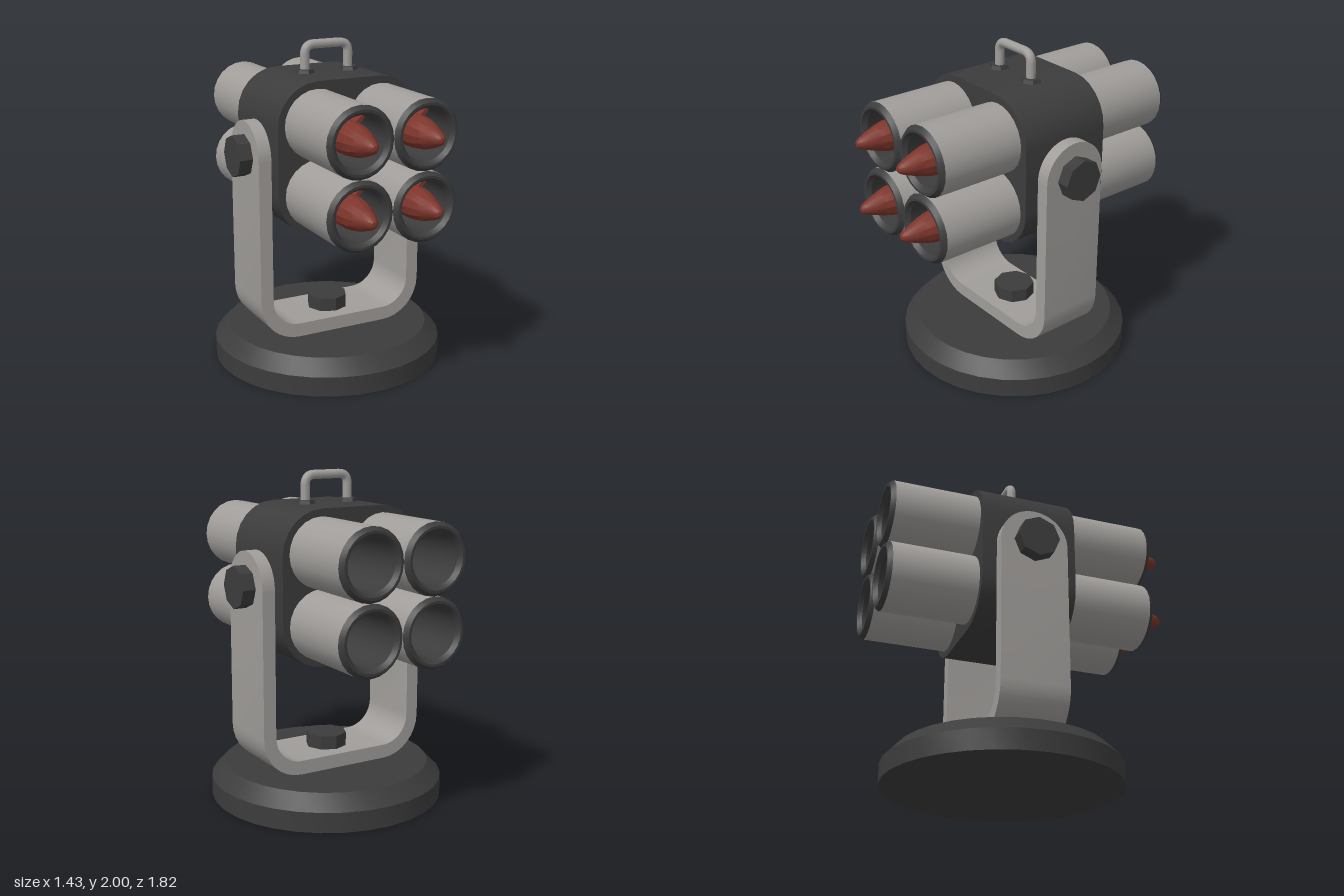
import * as THREE from 'three';
import { toCreasedNormals } from 'three/addons/utils/BufferGeometryUtils.js';

const paint = (name, color) => {
  const m = new THREE.MeshStandardMaterial({ color });
  m.name = name;
  return m;
};

export function createModel() {
  const root = new THREE.Group();
  root.name = 'rocketPod';
  const dark = paint('charcoal', 0x3c3c3c);
  const grey = paint('warmGrey', 0xa09d9a);
  const red = paint('brickRed', 0x7d352b);
  const PIVOT = 1.345, HALF = 0.208;

  const add = (parent, name, geo, mat, x = 0, y = 0, z = 0) => {
    const mesh = new THREE.Mesh(geo, mat);
    mesh.name = name;
    mesh.position.set(x, y, z);
    parent.add(mesh);
    return mesh;
  };
  const lathe = (pts, seg) => toCreasedNormals(
    new THREE.LatheGeometry(pts.map(p => new THREE.Vector2(...p)), seg), 0.5);
  // Lathe turned so that its axis runs along z
  const latheZ = (pts, seg) => lathe(pts, seg).rotateX(Math.PI / 2);
  const extrude = (shape, depth, curveSegments) => toCreasedNormals(
    new THREE.ExtrudeGeometry(shape, { depth, curveSegments, bevelEnabled: false })
      .translate(0, 0, -depth / 2), 0.6);

  // Everything on the mount shares one centre line
  const mount = new THREE.Group();
  mount.name = 'mount';
  mount.position.z = -0.07;
  root.add(mount);

  // Round base with sloped shoulder
  add(mount, 'base', lathe([[0, 0], [0.715, 0], [0.715, 0.122], [0.63, 0.21], [0, 0.21]], 32), dark);

  // U-shaped bracket
  const u = new THREE.Shape();
  const o = 0.545, i = 0.465, b = 0.21, t = 0.295, ro = 0.25, ri = 0.17;
  u.moveTo(-o, PIVOT);
  u.lineTo(-o, b + ro);
  u.absarc(-o + ro, b + ro, ro, Math.PI, Math.PI * 1.5, false);
  u.absarc(o - ro, b + ro, ro, -Math.PI / 2, 0, false);
  u.lineTo(o, PIVOT);
  u.lineTo(i, PIVOT);
  u.lineTo(i, t + ri);
  u.absarc(i - ri, t + ri, ri, 0, -Math.PI / 2, true);
  u.absarc(-i + ri, t + ri, ri, -Math.PI / 2, -Math.PI, true);
  u.lineTo(-i, PIVOT);
  add(mount, 'bracket', extrude(u, HALF * 2, 4), grey);

  // Rounded bracket ends and pivot bolts
  for (const s of [-1, 1]) {
    const end = new THREE.Shape();
    end.absarc(0, 0, HALF, 0, Math.PI, false);
    add(mount, 'bracketEnd', extrude(end, o - i, 12).rotateY(Math.PI / 2),
      grey, s * (o + i) / 2, PIVOT, 0);
    add(mount, 'pivotBolt', toCreasedNormals(
      new THREE.CylinderGeometry(0.127, 0.127, 0.18, 8), 0.5).rotateZ(Math.PI / 2),
      dark, s * 0.535, PIVOT, 0);
  }
  add(mount, 'baseBolt', toCreasedNormals(
    new THREE.CylinderGeometry(0.127, 0.127, 0.1, 8), 0.5), dark, 0, 0.328, 0);

  // Central housing with rounded corners
  const h = new THREE.Shape();
  const w = 0.46, k = 0.2, r = 0.26;
  h.moveTo(k, -w);
  h.absarc(k, -k, r, -Math.PI / 2, 0, false);
  h.absarc(k, k, r, 0, Math.PI / 2, false);
  h.absarc(-k, k, r, Math.PI / 2, Math.PI, false);
  h.absarc(-k, -k, r, Math.PI, Math.PI * 1.5, false);
  add(mount, 'housing', extrude(h, 0.585, 3), dark, 0, PIVOT, 0);

  // Carry handle and its feet
  const handle = new THREE.CurvePath();
  const v = (x, y) => new THREE.Vector3(x, y, 0);
  const hx = 0.145, top = 1.972, c = 0.06;
  handle.add(new THREE.LineCurve3(v(-hx, 1.79), v(-hx, top - c)));
  handle.add(new THREE.QuadraticBezierCurve3(v(-hx, top - c), v(-hx, top), v(-hx + c, top)));
  handle.add(new THREE.LineCurve3(v(-hx + c, top), v(hx - c, top)));
  handle.add(new THREE.QuadraticBezierCurve3(v(hx - c, top), v(hx, top), v(hx, top - c)));
  handle.add(new THREE.LineCurve3(v(hx, top - c), v(hx, 1.79)));
  add(mount, 'handle', new THREE.TubeGeometry(handle, 48, 0.028, 10, false), grey);
  for (const s of [-1, 1]) {
    add(mount, 'handleFoot', toCreasedNormals(
      new THREE.CylinderGeometry(0.055, 0.066, 0.03, 6), 0.5), dark, s * 0.148, 1.812, 0);
  }

  // Launch tubes, each with dark rims, hollow ends and a rocket
  const shell = latheZ([[HALF, -0.88], [HALF, 0.738]], 24);
  const frontRim = latheZ([[HALF, 0.738], [0.187, 0.766], [0.172, 0.766],
    [0.152, 0.738], [0.152, 0.3], [0, 0.3]], 24);
  const backRim = latheZ([[0, -0.4], [0.152, -0.4], [0.152, -0.88],
    [0.172, -0.908], [0.187, -0.908], [HALF, -0.88]], 24);
  const body = latheZ([[0, 0.3], [0.095, 0.3], [0.095, 0.66], [0.088, 0.72], [0.074, 0.77],
    [0.054, 0.83], [0.034, 0.88], [0.018, 0.902], [0, 0.908]], 12);
  const fin = new THREE.BoxGeometry(0.31, 0.024, 0.25);
  for (const sx of [-1, 1]) {
    for (const sy of [-1, 1]) {
      const tube = new THREE.Group();
      tube.name = 'launchTube';
      tube.position.set(sx * HALF, PIVOT + sy * HALF, 0);
      root.add(tube);
      add(tube, 'tubeShell', shell, grey);
      add(tube, 'frontRim', frontRim, dark);
      add(tube, 'backRim', backRim, dark);
      add(tube, 'rocketBody', body, red);
      for (const a of [1, -1]) {
        add(tube, 'rocketFins', fin, red, 0, 0, 0.45).rotation.z = a * Math.PI / 4;
      }
    }
  }
  return root;
}
